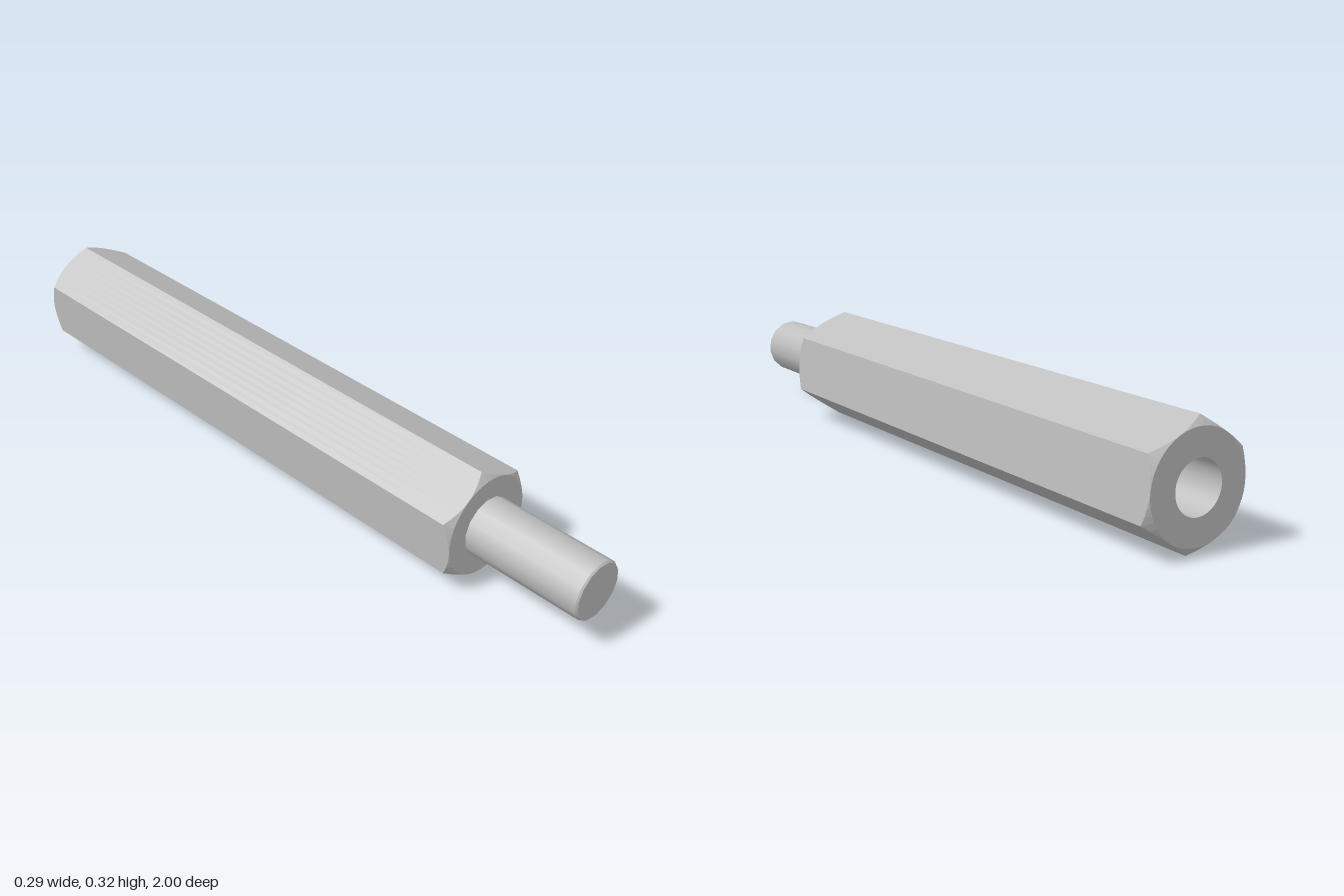
import * as THREE from 'three';
import { mergeGeometries } from 'three/addons/utils/BufferGeometryUtils.js';

const TILT = 0.082;         // small roll of the hexagon about the long axis
const CORNER = 0.1605;      // hexagon corner radius
const FLAT = CORNER * Math.cos(Math.PI / 6);
const FRONT = 0.66, BACK = -1;
const STUD_R = 0.081, BORE_R = 0.068, BORE_END = -0.5;

// Hexagon radius at an angle measured from a corner
function hexRadius(a) {
  const sector = Math.PI / 3;
  const t = ((a % sector) + sector) % sector;
  return FLAT / Math.cos(t - sector / 2);
}

// Turned surface about z, one lathe per profile segment so edges stay sharp
function turned(profile, segments) {
  const parts = [];
  for (let i = 0; i + 1 < profile.length; i++) {
    const pts = [profile[i], profile[i + 1]].map(([r, z]) => new THREE.Vector2(r, z));
    parts.push(new THREE.LatheGeometry(pts, segments, TILT));
  }
  return mergeGeometries(parts).rotateX(Math.PI / 2);
}

// Hexagonal bar whose ends are cut by a cone, leaving round end faces
function hexBar() {
  const N = 48, circle = FLAT - 0.0005;
  const drop = (a) => (hexRadius(a) - circle) * 0.9;
  const rings = [
    () => [STUD_R * 0.9, FRONT],
    () => [circle, FRONT],
    (a) => [hexRadius(a), FRONT - drop(a)],
    (a) => [hexRadius(a), BACK + drop(a)],
    () => [circle, BACK],
    () => [BORE_R, BACK],
  ];
  const point = (ring, j) => {
    const a = ((j % N) / N) * Math.PI * 2;
    const [r, z] = ring(a);
    const world = a + Math.PI / 2 + TILT;
    return [r * Math.cos(world), r * Math.sin(world), z];
  };
  const pos = [];
  for (let i = 0; i + 1 < rings.length; i++) {
    for (let j = 0; j < N; j++) {
      const a = point(rings[i], j), b = point(rings[i + 1], j);
      const c = point(rings[i + 1], j + 1), d = point(rings[i], j + 1);
      pos.push(...a, ...b, ...c, ...a, ...c, ...d);
    }
  }
  const g = new THREE.BufferGeometry();
  g.setAttribute('position', new THREE.Float32BufferAttribute(pos, 3));
  g.computeVertexNormals();
  return g;
}

export function createModel() {
  const metal = new THREE.MeshStandardMaterial({ color: 0xbfbfbf });
  metal.name = 'greyMetal';
  const model = new THREE.Group();
  model.name = 'hexStandoff';
  const add = (name, geometry) => {
    const mesh = new THREE.Mesh(geometry, metal);
    mesh.name = name;
    mesh.position.y = 0.16;
    model.add(mesh);
  };

  add('hexBody', hexBar());
  // Round stud with a slightly bevelled tip
  add('stud', turned([[STUD_R, FRONT - 0.005], [STUD_R, 0.995], [0.077, 1], [0, 1]], 14));
  // Blind bore in the back end, facing inward
  add('bore', turned([[0, BORE_END], [BORE_R, BORE_END], [BORE_R, BACK]], 48));
  return model;
}
